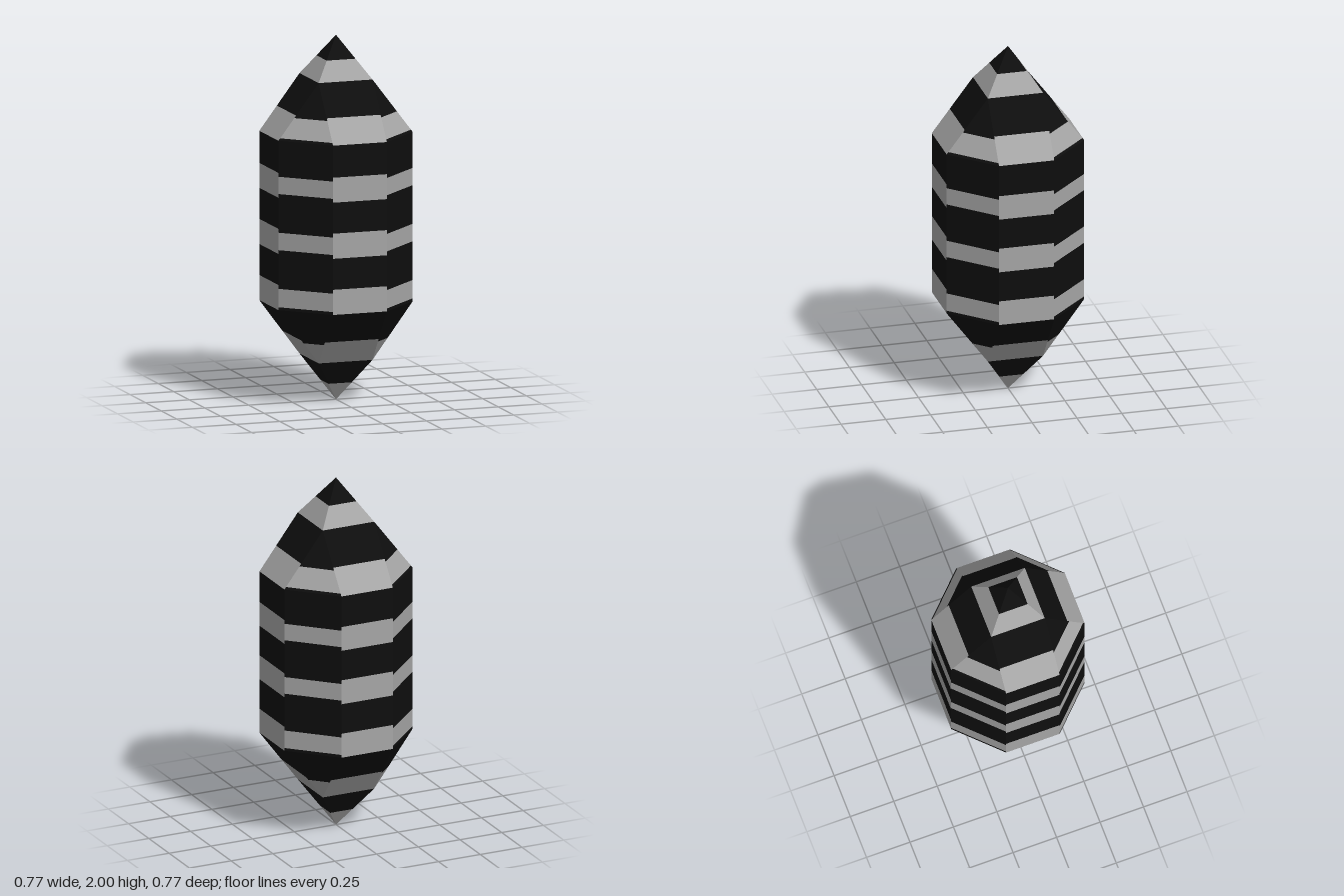
import * as THREE from 'three';

// Silhouette: [height, half flat width, distance of flat side from axis]
const PROFILE = [
  [0, 0, 0], [0.234, 0.154, 0.154], [0.541, 0.154, 0.384],
  [1.47, 0.154, 0.384], [1.772, 0.154, 0.154], [2, 0, 0],
];

// Heights of the pale bands on the straight sides and on the corner faces
const SIDE_BANDS = [[0, 0.101], [0.234, 0.366], [0.541, 0.679], [0.849, 0.987],
  [1.157, 1.294], [1.47, 1.602], [1.772, 1.878]];
const CORNER_BANDS = [[0.234, 0.35], [0.557, 0.658], [0.87, 0.966],
  [1.178, 1.273], [1.483, 1.589]];

// Half width and distance at height y
function section(y) {
  const i = Math.max(1, PROFILE.findIndex((p) => p[0] >= y - 1e-6));
  const a = PROFILE[i - 1], b = PROFILE[i];
  const t = (y - a[0]) / (b[0] - a[0]);
  return [a[1] + (b[1] - a[1]) * t, a[2] + (b[2] - a[2]) * t];
}

// Strips of one colour between two heights, repeated on the four quarters
function strips(y0, y1, bands, corner, pale) {
  const out = [];
  const cuts = [y0, y1, ...bands.flat().filter((y) => y > y0 && y < y1)].sort((a, b) => a - b);
  for (let i = 0; i + 1 < cuts.length; i++) {
    const low = cuts[i], high = cuts[i + 1], mid = (low + high) / 2;
    if (bands.some(([a, b]) => mid > a && mid < b) !== pale) continue;
    const edge = (y) => {
      const [c, d] = section(y);
      return corner ? [[c, y, d], [d, y, c]] : [[-c, y, d], [c, y, d]];
    };
    const [a, b] = edge(low), [e, f] = edge(high);
    for (let q = 0; q < 4; q++) {
      for (const tri of [[a, b, f], [a, f, e]]) {
        const v = tri.map((p) => new THREE.Vector3(...p).applyAxisAngle(new THREE.Vector3(0, 1, 0), q * Math.PI / 2));
        if (new THREE.Triangle(...v).getArea() > 1e-8) v.forEach((p) => out.push(p.x, p.y, p.z));
      }
    }
  }
  return out;
}

export function createModel() {
  const model = new THREE.Group();
  model.name = 'bandedCrystal';
  const black = new THREE.MeshStandardMaterial({ color: 0x0e0e0e });
  black.name = 'black';
  const grey = new THREE.MeshStandardMaterial({ color: 0xa6a6a6 });
  grey.name = 'pale grey';

  // Five tiers: point, bevel, column, bevel, point
  const names = ['bottomPoint', 'lowerBevel', 'column', 'upperBevel', 'topPoint'];
  names.forEach((name, i) => {
    const tier = new THREE.Group();
    tier.name = name;
    const y0 = PROFILE[i][0], y1 = PROFILE[i + 1][0];
    for (const pale of [false, true]) {
      const points = strips(y0, y1, SIDE_BANDS, false, pale);
      if (i > 0 && i < 4) points.push(...strips(y0, y1, CORNER_BANDS, true, pale));
      const geometry = new THREE.BufferGeometry();
      geometry.setAttribute('position', new THREE.Float32BufferAttribute(points, 3));
      geometry.computeVertexNormals();
      const mesh = new THREE.Mesh(geometry, pale ? grey : black);
      mesh.name = name + (pale ? 'PaleBands' : 'DarkBands');
      tier.add(mesh);
    }
    model.add(tier);
  });
  return model;
}
